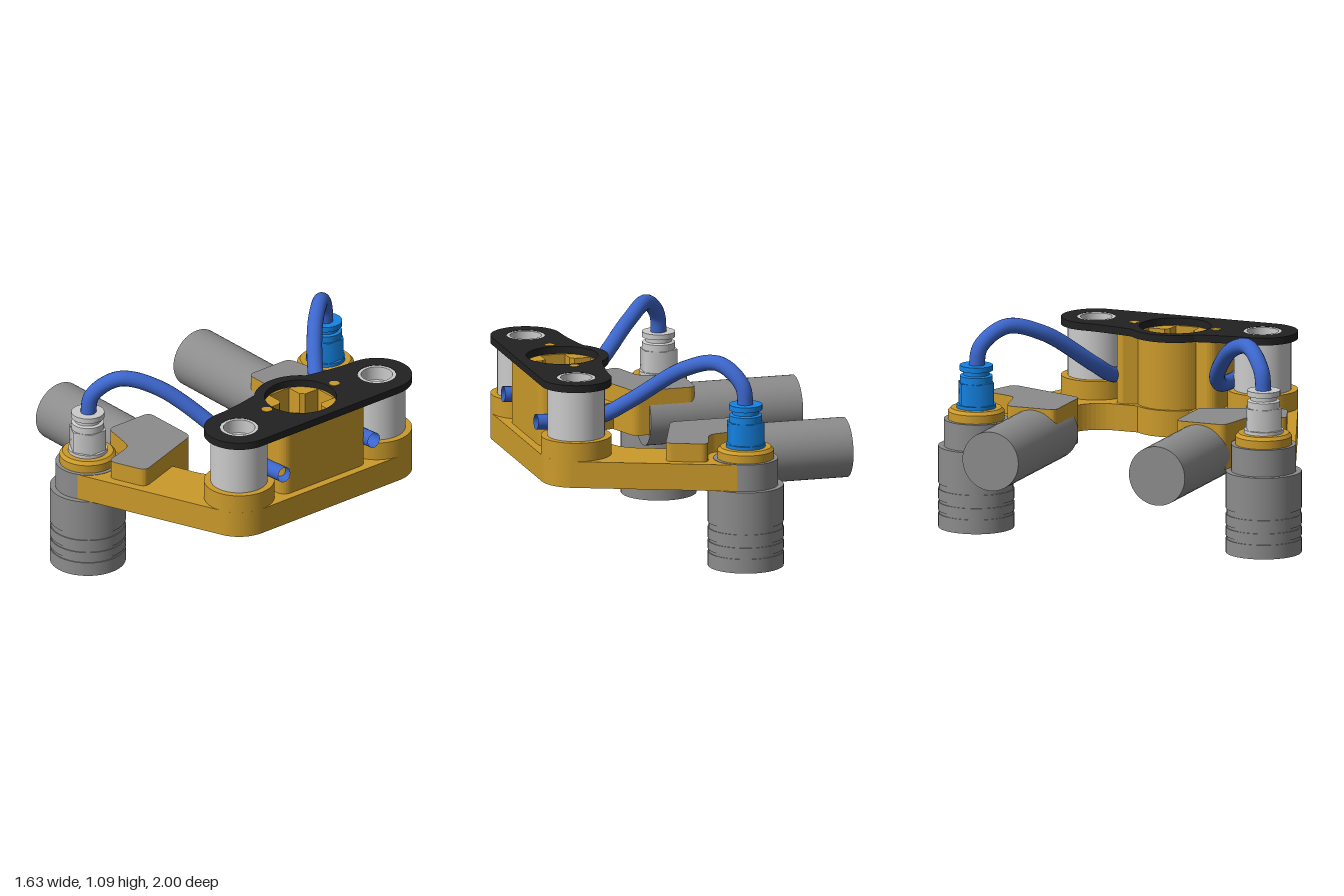
import * as THREE from 'three';

const mat = (color) => new THREE.MeshStandardMaterial({ color });
const grey = mat(0xcccccc), darkGrey = mat(0x8c8c8c), gold = mat(0xcb9a2b);
const black = mat(0x222222), blue = mat(0x1584e4);
const hoseBlue = mat(0x3c66cc);
hoseBlue.side = THREE.DoubleSide;

const HUB = [0.57, 0], POST = [0.63, 0.465], CUP = [-0.185, 0.803];

function add(parent, name, geometry, material, x = 0, y = 0, z = 0) {
  const mesh = new THREE.Mesh(geometry, material);
  mesh.name = name;
  mesh.position.set(x, y, z);
  parent.add(mesh);
  return mesh;
}

// Upright cylinder between two heights
const post = (parent, name, material, [x, z], r, y0, y1, sides = 48) =>
  add(parent, name, new THREE.CylinderGeometry(r, r, y1 - y0, sides), material, x, (y0 + y1) / 2, z);

// Solid of revolution from sharp-edged [radius, height] steps
function lathe(profile) {
  const geo = new THREE.LatheGeometry(profile.map(([r, y]) => new THREE.Vector2(r, y)), 48).toNonIndexed();
  // Recompute each band's normals so the steps stay crisp but the walls stay round
  const p = geo.attributes.position, n = geo.attributes.normal;
  const a = new THREE.Vector3(), b = new THREE.Vector3(), c = new THREE.Vector3();
  for (let i = 0; i < p.count; i += 3) {
    a.fromBufferAttribute(p, i); b.fromBufferAttribute(p, i + 1); c.fromBufferAttribute(p, i + 2);
    const face = b.clone().sub(a).cross(c.clone().sub(a)).normalize();
    const mid = a.clone().add(b).add(c);
    const out = Math.hypot(face.x, face.z) * Math.sign(face.x * mid.x + face.z * mid.z);
    [a, b, c].forEach((v, k) => {
      const r = Math.hypot(v.x, v.z);
      if (r > 1e-5) n.setXYZ(i + k, v.x / r * out, face.y, v.z / r * out);
      else n.setXYZ(i + k, face.x, face.y, face.z);
    });
  }
  return geo;
}

// Points on an arc, angles in degrees, in plan (x, z)
function arc([cx, cz], r, from, to, steps = 16) {
  return Array.from({ length: steps + 1 }, (_, i) => {
    const t = THREE.MathUtils.degToRad(from + (to - from) * i / steps);
    return new THREE.Vector2(cx + r * Math.cos(t), cz + r * Math.sin(t));
  });
}

// Curved link between two plan points
function bend(p, q, s, steps = 10) {
  const v = (a) => new THREE.Vector2(...a);
  return new THREE.QuadraticBezierCurve(v(p), v(q), v(s)).getPoints(steps);
}

// Closed outline from its +z half, mirrored across z = 0
const mirrored = (half) => new THREE.Shape([
  ...half, ...half.slice().reverse().map((p) => new THREE.Vector2(p.x, -p.y))]);

// Polygon with rounded corners
function rounded(points, r) {
  const out = [];
  points.forEach((p, i) => {
    const toward = (q) => {
      const d = Math.hypot(q[0] - p[0], q[1] - p[1]);
      return [p[0] + (q[0] - p[0]) * r / d, p[1] + (q[1] - p[1]) * r / d];
    };
    const n = points.length;
    out.push(...bend(toward(points[(i + n - 1) % n]), p, toward(points[(i + 1) % n]), 6));
  });
  return new THREE.Shape(out);
}

// Plan shape raised between two heights
function slab(shape, y0, y1) {
  return new THREE.ExtrudeGeometry(shape, { depth: y1 - y0, bevelEnabled: false })
    .rotateX(Math.PI / 2).translate(0, y1, 0);
}

const circleHole = (c, r) => new THREE.Path(arc(c, r, 0, 360, 48).slice(0, -1));

// Round bore with four key slots
function keyedBore(bore, reach, halfWidth) {
  const pts = [], a = THREE.MathUtils.radToDeg(Math.asin(halfWidth / bore));
  for (let k = 0; k < 4; k++) {
    const t = k * Math.PI / 2, c = Math.cos(t), s = Math.sin(t);
    for (const w of [-halfWidth, halfWidth])
      pts.push(new THREE.Vector2(HUB[0] + reach * c - w * s, HUB[1] + reach * s + w * c));
    pts.push(...arc(HUB, bore, k * 90 + a, k * 90 + 90 - a, 5));
  }
  return pts;
}

function buildBase(group) {
  // V-shaped base plate with two arms
  const plate = mirrored([
    ...arc(POST, 0.183, 0, 70),
    ...arc(CUP, 0.165, 70, 250, 24),
    ...bend([0.26, 0.465], [0.41, 0.41], [0.41, 0.27]),
    ...arc(HUB, 0.215, 138, 178, 8),
  ]);
  add(group, 'basePlate', slab(plate, 0.43, 0.57), gold);
  add(group, 'keyPlug', slab(new THREE.Shape(keyedBore(0.075, 0.16, 0.06)), 0.427, 0.45), darkGrey);

  // Hub body with keyed bore, joined to its mounting block
  const body = mirrored([
    new THREE.Vector2(0.77, 0), ...arc([0.72, 0.235], 0.05, 0, 90, 6),
    ...arc([0.48, 0.235], 0.05, 90, 180, 6), ...arc(HUB, 0.198, 125, 178, 12)]);
  body.holes.push(new THREE.Path(keyedBore(0.108, 0.172, 0.065)));
  add(group, 'hubBody', slab(body, 0.57, 0.936), gold);
  post(group, 'boreFloor', grey, HUB, 0.107, 0.56, 0.6);

  // Top plate with central opening, post holes and pin holes
  const top = mirrored([
    ...arc(POST, 0.183, 0, 180, 28),
    ...bend([0.445, 0.42], [0.438, 0.32], [0.405, 0.175]),
    ...arc(HUB, 0.24, 140, 178, 12),
  ]);
  top.holes.push(circleHole(HUB, 0.187));
  for (const s of [1, -1]) top.holes.push(circleHole([POST[0], s * POST[1]], 0.1));
  add(group, 'topPlate', slab(top, 0.936, 0.975), black);
}

function buildSide(group, fittingMaterial) {
  // Post with its collar and underside bolt
  post(group, 'postCollar', gold, POST, 0.183, 0.57, 0.668);
  add(group, 'post', lathe([[0, 0.668], [0.148, 0.668], [0.148, 0.936], [0.099, 0.936],
    [0.099, 0.974], [0.082, 0.974], [0.082, 0.9], [0, 0.9]]), grey, POST[0], 0, POST[1]);
  post(group, 'postBolt', darkGrey, POST, 0.09, 0.427, 0.45);
  post(group, 'platePin', gold, [0.57, 0.228], 0.027, 0.93, 0.977, 24);

  // Vertical suction cup with shallow grooves
  const cup = [[0, 0], [0.197, 0]];
  for (const [a, b] of [[0.075, 0.09], [0.135, 0.15], [0.205, 0.235]])
    cup.push([0.197, a], [0.192, a], [0.192, b], [0.197, b]);
  cup.push([0.197, 0.43], [0.168, 0.43], [0.168, 0.572], [0, 0.572]);
  add(group, 'suctionCup', lathe(cup), darkGrey, CUP[0], 0, CUP[1]);
  add(group, 'cupCollar', lathe([[0, 0.57], [0.147, 0.57], [0.147, 0.615], [0.132, 0.632], [0, 0.632]]),
    gold, CUP[0], 0, CUP[1]);

  // Hose fitting: flange, hex nut and release ring
  const fitting = new THREE.Group();
  fitting.name = 'hoseFitting';
  group.add(fitting);
  post(fitting, 'fittingFlange', fittingMaterial, CUP, 0.102, 0.63, 0.65);
  post(fitting, 'fittingHex', fittingMaterial, CUP, 0.1, 0.65, 0.765, 6);
  add(fitting, 'fittingNeck', lathe([[0, 0.765], [0.085, 0.765], [0.085, 0.8], [0.068, 0.805],
    [0.068, 0.828], [0.086, 0.828], [0.086, 0.856], [0, 0.856]]), fittingMaterial, CUP[0], 0, CUP[1]);

  // Hose arching from the fitting through beside the hub
  const path = new THREE.CatmullRomCurve3([
    [-0.185, 0.83, 0.803], [-0.172, 0.95, 0.785], [-0.08, 1.047, 0.68], [0.06, 0.995, 0.525],
    [0.3, 0.8, 0.345], [0.45, 0.717, 0.303], [0.62, 0.7, 0.3], [0.8, 0.71, 0.303],
  ].map((p) => new THREE.Vector3(...p)));
  add(group, 'hose', new THREE.TubeGeometry(path, 72, 0.041, 16), hoseBlue);

  // Side block carrying the horizontal cylinder
  const block = rounded([[-0.25, 0.335], [0.085, 0.335], [0.235, 0.765], [0.03, 0.845],
    [-0.03, 0.655], [-0.25, 0.61]], 0.04);
  add(group, 'sideBlock', slab(block, 0.428, 0.667), [darkGrey, gold]);
  add(group, 'sideCylinder', new THREE.CylinderGeometry(0.156, 0.156, 0.82, 48).rotateZ(Math.PI / 2),
    darkGrey, -0.41, 0.5, 0.465);
}

export function createModel() {
  const model = new THREE.Group();
  model.name = 'twinSuctionGripper';
  buildBase(model);
  for (const [name, s, material] of [['frontArm', 1, grey], ['backArm', -1, blue]]) {
    const arm = new THREE.Group();
    arm.name = name;
    arm.scale.z = s;
    buildSide(arm, material);
    model.add(arm);
  }
  return model;
}
